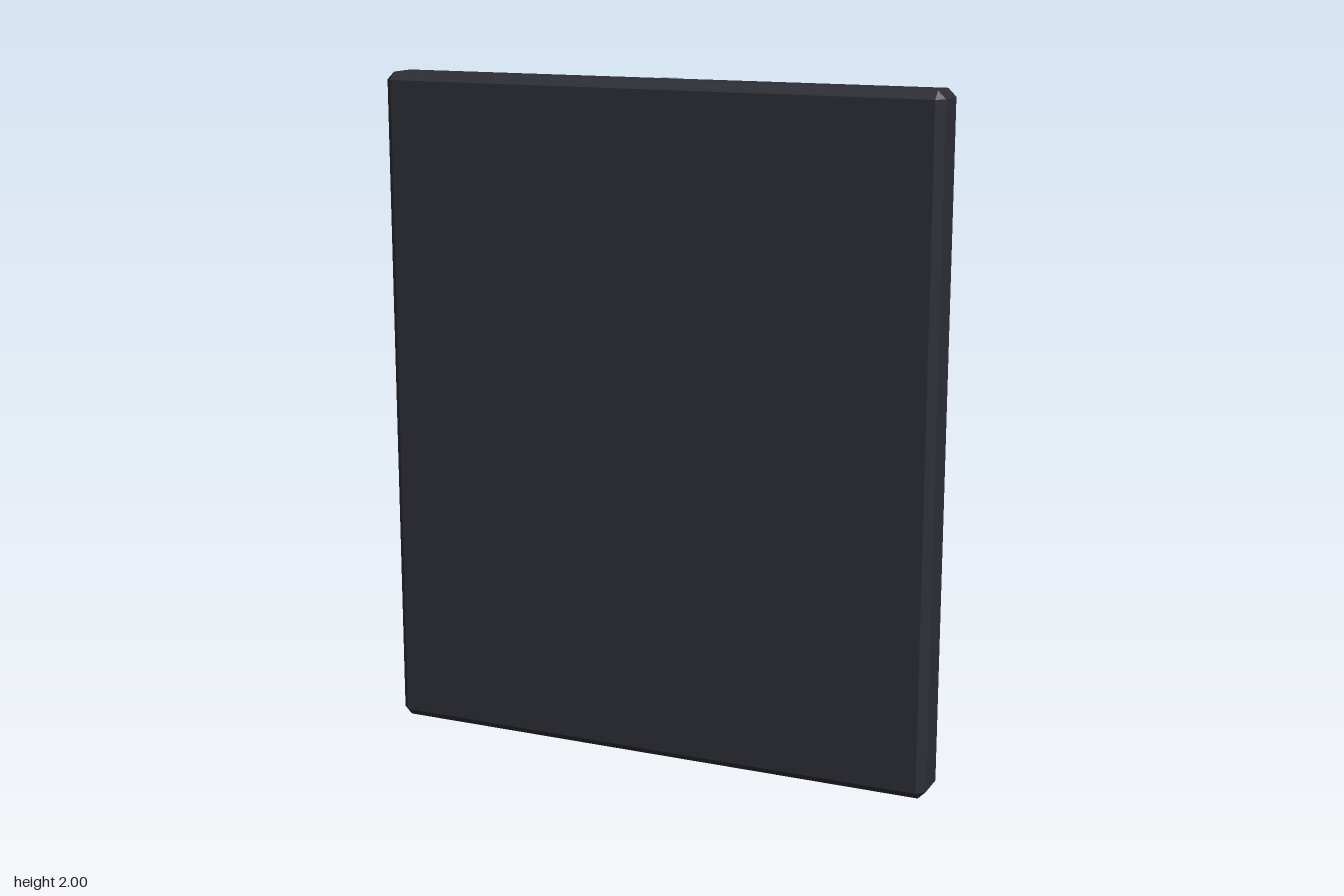
import * as THREE from 'three';
import { ConvexGeometry } from 'three/addons/geometries/ConvexGeometry.js';

const mat = (name, color) => {
  const m = new THREE.MeshStandardMaterial({ color });
  m.name = name;
  return m;
};

// Box between two corners with every edge chamfered by c
function chamferBox(min, max, c) {
  const mid = min.map((v, i) => (v + max[i]) / 2);
  const half = min.map((v, i) => (max[i] - v) / 2);
  const points = [];
  for (const sx of [-1, 1]) for (const sy of [-1, 1]) for (const sz of [-1, 1]) {
    const s = [sx, sy, sz];
    for (let full = 0; full < 3; full++) {
      points.push(new THREE.Vector3(...s.map((v, i) => mid[i] + v * (half[i] - (i === full ? 0 : c)))));
    }
  }
  return new ConvexGeometry(points);
}

// Plain box between two corners
function box(min, max) {
  const size = max.map((v, i) => v - min[i]);
  return new THREE.BoxGeometry(...size).translate(...min.map((v, i) => v + size[i] / 2));
}

// Ten-sided faceted disc lying along z
function disc(radius, zBack, zFront) {
  const g = new THREE.CylinderGeometry(radius, radius, zFront - zBack, 10)
    .rotateX(Math.PI / 2).translate(0, 1.005, (zBack + zFront) / 2).toNonIndexed();
  g.computeVertexNormals();
  return g;
}

export function createModel() {
  const model = new THREE.Group();
  const dark = mat('darkCasing', 0x2d2d36);
  const metal = mat('paleMetal', 0xc4cccb);
  const steel = mat('blueSteel', 0x4c5a68);
  const add = (name, geometry, material) => {
    const mesh = new THREE.Mesh(geometry, material);
    mesh.name = name;
    model.add(mesh);
  };

  // Main slab and the strip down the middle of its back
  add('slab', chamferBox([-0.852, 0, -0.043], [0.852, 2, 0.097], 0.023), dark);
  add('centreStrip', box([-0.021, 0, -0.062], [0.021, 2, -0.035]), metal);

  // Mirrored back panels, side rails and cross bars
  for (const side of [-1, 1]) {
    const span = (a, b) => (side > 0 ? [a, b] : [-b, -a]);
    const label = side > 0 ? 'left' : 'right';
    const [p0, p1] = span(0.073, 0.783);
    add(label + 'Panel', chamferBox([p0, 0.115, -0.067], [p1, 1.885, -0.025], 0.017), dark);
    const [r0, r1] = span(0.797, 0.822);
    add(label + 'Rail', box([r0, 0.11, -0.066], [r1, 1.89, -0.04]), metal);
    const [b0, b1] = span(0.137, 0.71);
    for (const y of [0.29, 0.634, 1.375, 1.718]) {
      add(label + 'Bar', box([b0, y - 0.014, -0.077], [b1, y + 0.014, -0.06]), metal);
    }
  }

  // Round hub with a raised, pale-faced centre
  add('hub', disc(0.226, -0.092, -0.04), steel);
  add('hubCap', disc(0.147, -0.098, -0.09), [steel, steel, metal]);

  return model;
}
